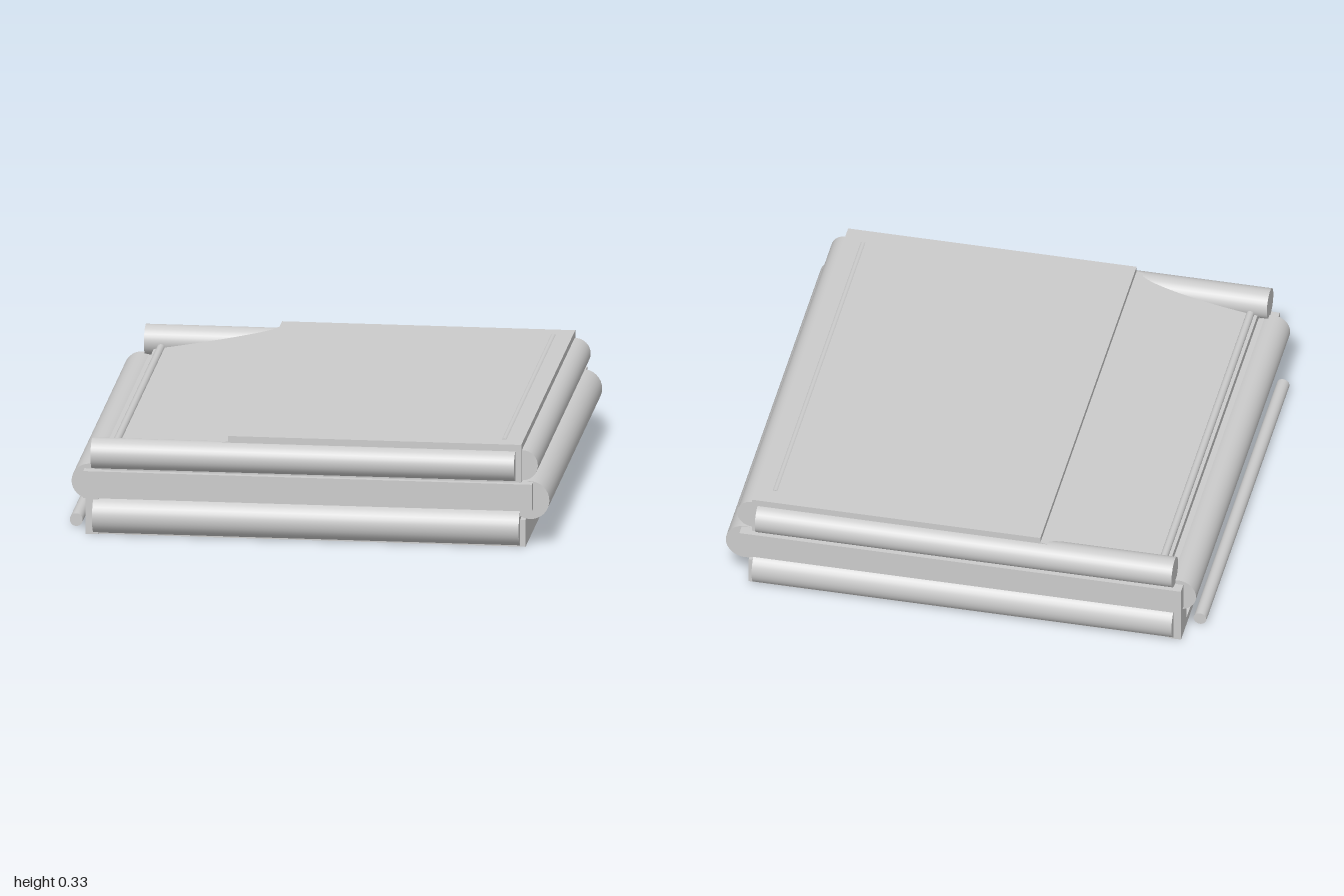
import * as THREE from 'three';

const material = new THREE.MeshStandardMaterial({ color: 0xcccccc });

export function createModel() {
  const model = new THREE.Group();
  const body = new THREE.Group(); // square slab, turned so its corners face the axes
  body.name = 'cushionStack';
  body.rotation.y = Math.PI / 4;
  model.add(body);

  function add(name, geometry, x = 0, y = 0, z = 0) {
    const mesh = new THREE.Mesh(geometry, material);
    mesh.name = name;
    mesh.position.set(x, y, z);
    body.add(mesh);
    return mesh;
  }

  function box(name, x0, x1, y0, y1, z0, z1) {
    return add(name, new THREE.BoxGeometry(x1 - x0, y1 - y0, z1 - z0),
      (x0 + x1) / 2, (y0 + y1) / 2, (z0 + z1) / 2);
  }

  // round bar running sideways or front to back
  function rollAcross(name, radius, half, y, z) {
    const g = new THREE.CylinderGeometry(radius, radius, half * 2, 32);
    return add(name, g.rotateZ(Math.PI / 2), 0, y, z);
  }
  function rollAlong(name, radius, x, y, z0, z1) {
    const g = new THREE.CylinderGeometry(radius, radius, z1 - z0, 32);
    return add(name, g.rotateX(Math.PI / 2), x, y, (z0 + z1) / 2);
  }

  // bottom layer, with a slotted back panel
  box('bottomLayer', -0.685, 0.685, 0, 0.085, -0.65, 0.667);
  const back = new THREE.Shape([[-0.69, 0], [0.69, 0], [0.69, 0.12], [-0.69, 0.12]]
    .map(p => new THREE.Vector2(...p)));
  back.holes.push(new THREE.Path([[-0.61, 0.025], [-0.61, 0.08], [0.61, 0.08], [0.61, 0.025]]
    .map(p => new THREE.Vector2(...p))));
  add('slottedBackPanel', new THREE.ExtrudeGeometry(back, { depth: 0.04, bevelEnabled: false }), 0, 0, -0.69);
  rollAcross('backLowerBar', 0.02, 0.6, 0.02, -0.73);

  // middle layer
  box('middleLayer', -0.715, 0.715, 0.12, 0.205, -0.695, 0.69);
  box('middleCore', -0.66, 0.66, 0.08, 0.215, -0.66, 0.65);
  rollAcross('middleFrontRoll', 0.06, 0.68, 0.147, 0.68);
  rollAcross('middleBackRoll', 0.055, 0.68, 0.165, -0.68);

  // top layer: flat panel with a small step, then a slope down to the back
  const profile = [[0.655, 0.2], [0.655, 0.325], [-0.25, 0.325], [-0.25, 0.308], [-0.64, 0.238], [-0.64, 0.2]];
  const side = new THREE.Shape(profile.map(([z, y]) => new THREE.Vector2(-z, y)));
  const top = new THREE.ExtrudeGeometry(side, { depth: 1.39, bevelEnabled: false });
  top.translate(0, 0, -0.695).rotateY(Math.PI / 2);
  add('topLayer', top);
  rollAcross('topFrontRoll', 0.0475, 0.68, 0.257, 0.657);
  rollAcross('frontSeam', 0.01, 0.636, 0.318, 0.595);
  rollAcross('backSeam', 0.012, 0.65, 0.243, -0.618);

  // mirrored side rolls
  for (const s of [-1, 1]) {
    const label = s > 0 ? 'left' : 'right';
    rollAlong(label + 'TopRoll', 0.0475, s * 0.688, 0.257, -0.67, 0.637);
    rollAlong(label + 'BottomRoll', 0.058, s * 0.664, 0.058, -0.667, 0.65);
  }
  return model;
}
